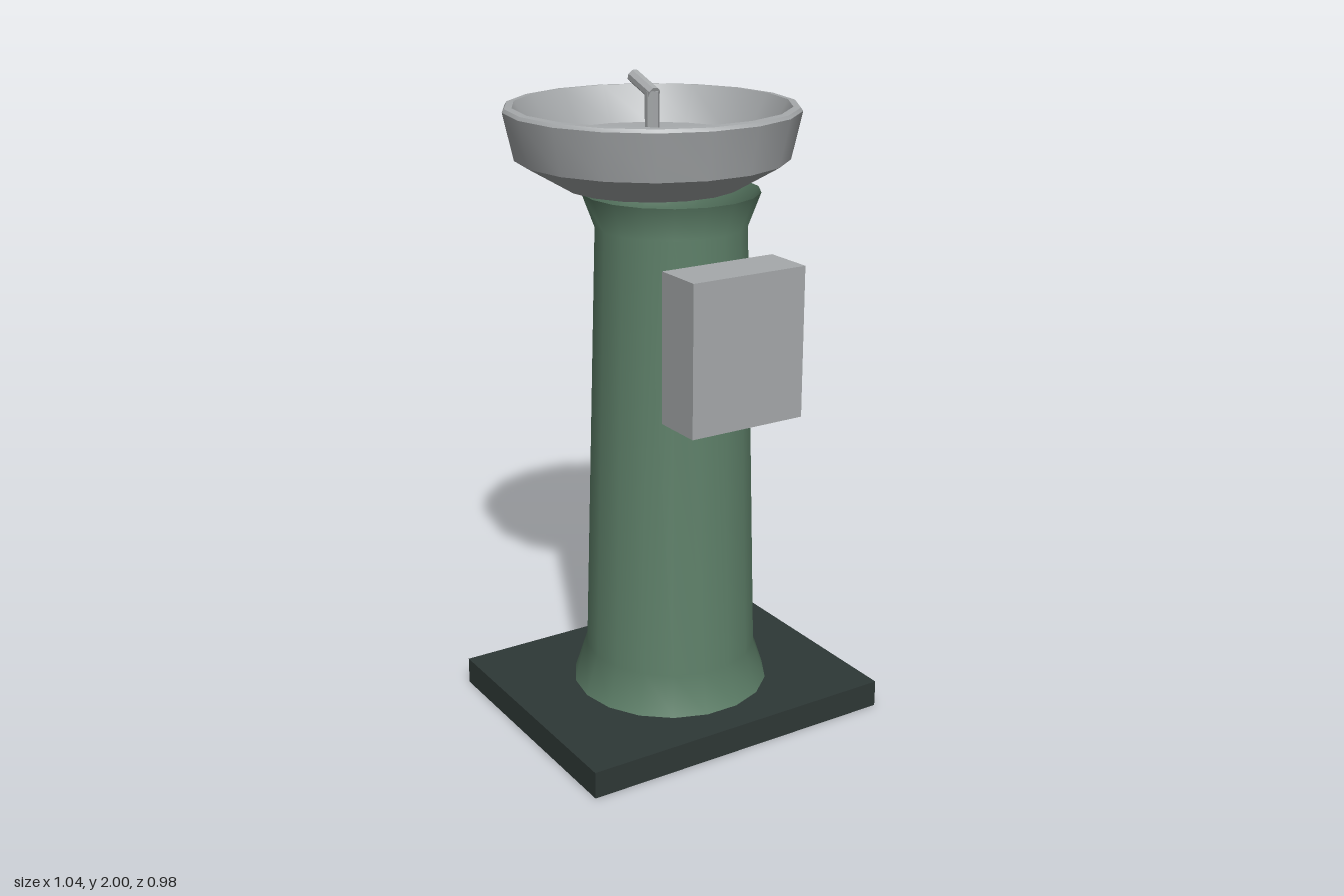
import * as THREE from 'three';
import { toCreasedNormals } from 'three/addons/utils/BufferGeometryUtils.js';

const SIDES = 18;

function material(name, color, side = THREE.FrontSide) {
  const m = new THREE.MeshStandardMaterial({ color, side });
  m.name = name;
  return m;
}

// Turned shell from [radius, height] pairs, with a corner on the x axis
function turned(profile) {
  const points = profile.map(([r, y]) => new THREE.Vector2(r, y));
  return new THREE.LatheGeometry(points, SIDES, Math.PI / 2);
}

// Box given by its minimum and maximum corners
function block(min, max) {
  const size = max.map((v, i) => v - min[i]);
  const geo = new THREE.BoxGeometry(...size);
  geo.translate(...min.map((v, i) => v + size[i] / 2));
  return geo;
}

// Eight-sided pipe between two points, with flats facing the axes
function pipe(from, to, radius) {
  const a = new THREE.Vector3(...from), b = new THREE.Vector3(...to);
  const dir = b.clone().sub(a);
  let geo = new THREE.CylinderGeometry(radius, radius, dir.length(), 8);
  geo.rotateY(Math.PI / 8);
  geo = toCreasedNormals(geo, 0.5);
  geo.applyQuaternion(new THREE.Quaternion().setFromUnitVectors(new THREE.Vector3(0, 1, 0), dir.normalize()));
  geo.translate(...a.add(b).multiplyScalar(0.5).toArray());
  return geo;
}

export function createModel() {
  const model = new THREE.Group();
  model.name = 'drinkingFountain';

  const green = material('paintedGreen', 0x5e8069, THREE.DoubleSide);
  const steel = material('steelGrey', 0xa6a9ab, THREE.DoubleSide);
  const dark = material('darkBase', 0x2e3836);

  const add = (name, geometry, mat, z = 0) => {
    const mesh = new THREE.Mesh(geometry, mat);
    mesh.name = name;
    mesh.position.z = z;
    model.add(mesh);
  };

  // Base slab
  add('base', block([-0.52, 0, -0.345], [0.52, 0.085, 0.49]), dark);

  // Tapering column, flared at foot and head, open at the top
  add('column', turned([[0.31, 0.085], [0.27, 0.21], [0.23, 1.57], [0.268, 1.672]]), green, 0.075);

  // Bowl: underside, wall, rim, inner wall, shallow floor
  const bowl = turned([
    [0.27, 1.672], [0.415, 1.757], [0.447, 1.9], [0.44, 1.91],
    [0.418, 1.912], [0.355, 1.8], [0.001, 1.785],
  ]);
  add('bowl', toCreasedNormals(bowl, 0.5), steel, -0.03);

  // Bubbler: upright pipe and angled spout
  add('bubblerStem', pipe([0, 1.78, -0.03], [0, 1.95, -0.03], 0.022), steel);
  add('bubblerSpout', pipe([0, 1.942, -0.018], [0, 1.982, -0.135], 0.021), steel);

  // Push button on the back of the bowl
  add('pushButton', block([-0.0625, 1.76, -0.488], [0.0625, 1.84, -0.445]), dark);

  // Service box on the front of the column
  add('frontBox', block([-0.19, 1.05, 0.328], [0.19, 1.505, 0.49]), steel);

  return model;
}
